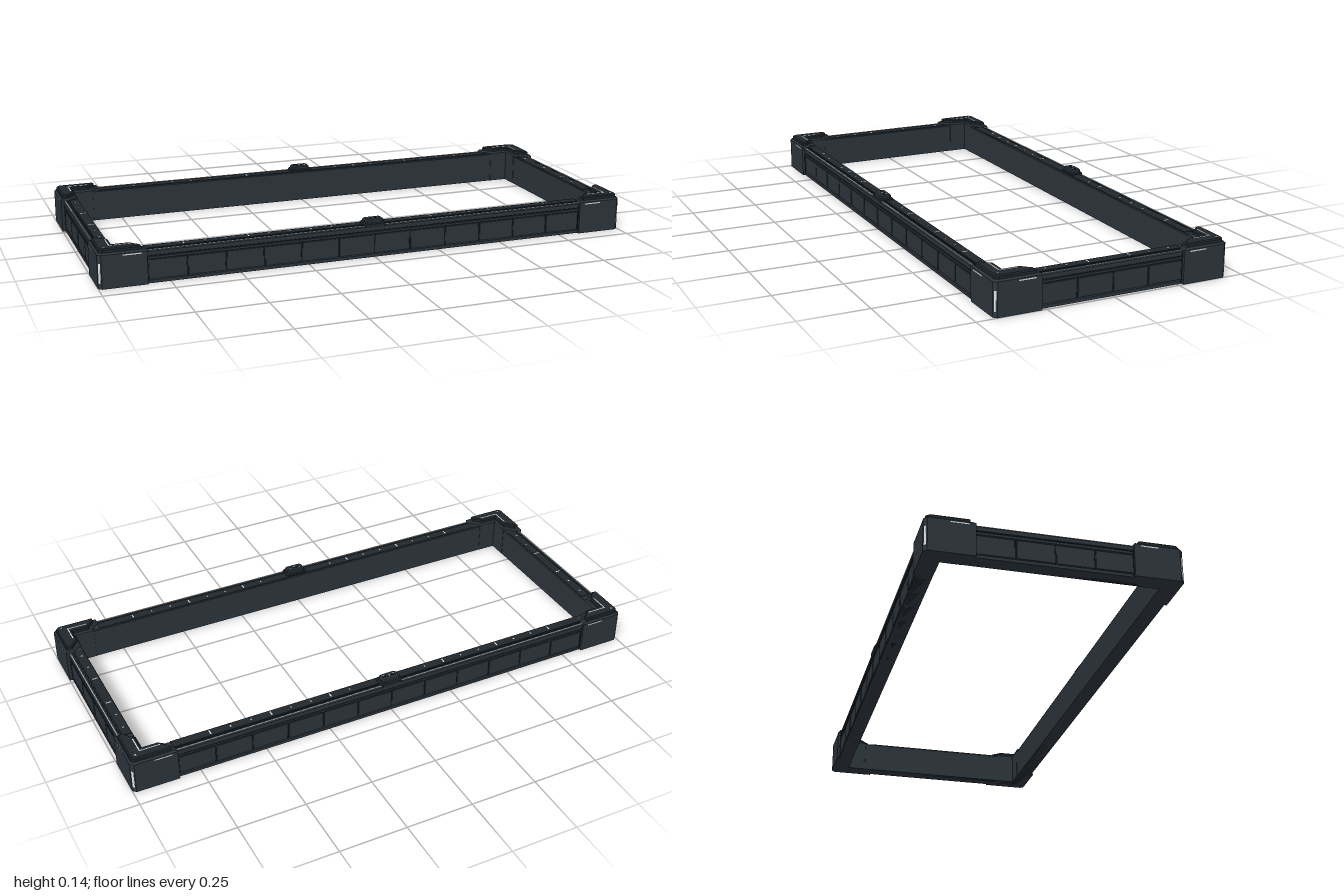
import * as THREE from 'three';

const material = (name, color) => {
  const m = new THREE.MeshStandardMaterial({ color });
  m.name = name;
  return m;
};

export function createModel() {
  const root = new THREE.Group();
  root.name = 'rectangularFrame';
  const body = material('slate', 0x2c343b);
  const trim = material('darkSlate', 0x20272b);
  const dark = material('nearBlack', 0x14181b);
  const light = material('paleLight', 0xe6eef2);

  function add(parent, name, geometry, mat) {
    const m = new THREE.Mesh(geometry, mat);
    m.name = name;
    parent.add(m);
    return m;
  }
  function box(parent, name, mat, size, pos) {
    const m = add(parent, name, new THREE.BoxGeometry(...size), mat);
    m.position.set(...pos);
    return m;
  }
  // Extrude an outline given as [x, z] straight up between two heights
  function slab(parent, name, mat, points, y0, y1, bevel) {
    const shape = new THREE.Shape(points.map(([x, z]) => new THREE.Vector2(x, -z)));
    const g = new THREE.ExtrudeGeometry(shape, {
      depth: y1 - y0 - bevel, bevelEnabled: bevel > 0, bevelSize: bevel,
      bevelThickness: bevel, bevelOffset: -bevel, bevelSegments: 1,
    });
    g.rotateX(-Math.PI / 2);
    // Only the top edge is chamfered, the bottom stays flat
    const p = g.attributes.position;
    for (let i = 0; i < p.count; i++) p.setY(i, Math.max(p.getY(i), 0) + y0);
    g.computeVertexNormals();
    return add(parent, name, g, mat);
  }

  // Rail section as [outward distance, height]
  const section = [
    [0, 0], [0.056, 0], [0.056, 0.011], [0.052, 0.014], [0.052, 0.084], [0.056, 0.087],
    [0.056, 0.094], [0.052, 0.097], [0.057, 0.1], [0.057, 0.114], [0.054, 0.118], [0.003, 0.118], [0, 0.115],
  ].map(([d, y]) => new THREE.Vector2(d, y));

  function rail(name, half, end, inner, angle, step, panelCount, ticks, bigRest) {
    const turn = new THREE.Group();
    turn.name = name;
    turn.rotation.y = angle;
    root.add(turn);
    const g = new THREE.Group();
    g.name = name + 'Parts';
    g.position.z = inner;
    turn.add(g);

    const geo = new THREE.ExtrudeGeometry(new THREE.Shape(section), { depth: 2 * half, bevelEnabled: false });
    geo.translate(0, 0, -half);
    geo.rotateY(-Math.PI / 2);
    add(g, 'railBody', geo, body);

    // Top cover, dark groove and thin light line
    box(g, 'topCover', trim, [2 * end, 0.003, 0.034], [0, 0.119, 0.02]);
    box(g, 'topGroove', dark, [2 * end, 0.002, 0.005], [0, 0.1185, 0.042]);
    box(g, 'lightLine', light, [2 * end, 0.002, 0.003], [0, 0.1185, 0.0525]);
    box(g, 'ledgeShadow', dark, [2 * end, 0.004, 0.002], [0, 0.0965, 0.053]);

    // Outer panels with dark seams
    const first = -step * panelCount / 2;
    for (let i = 0; i < panelCount; i++) {
      const x = first + step * (i + 0.5);
      box(g, 'sidePanel', body, [step - 0.007, 0.066, 0.004], [x, 0.049, i % 2 ? 0.0535 : 0.0525]);
      if (i) box(g, 'panelSeam', dark, [0.005, 0.07, 0.002], [x - step / 2, 0.049, 0.052]);
    }

    // Light marks along the top
    for (const s of [-1, 1]) {
      for (let n = ticks[0]; n <= ticks[1]; n++) {
        const big = n % 3 === bigRest;
        box(g, 'topMark', light, [0.005, 0.002, big ? 0.02 : 0.007], [s * n * 0.0772, 0.1205, 0.02]);
      }
    }
    return g;
  }

  function clip(g) {
    // Raised block at the middle of the long rails
    const plan = (w, a, b, c) => [[-w, a + c], [-w + c, a], [w - c, a], [w, a + c],
      [w, b - c], [w - c, b], [-w + c, b], [-w, b - c]];
    slab(g, 'clipBase', trim, plan(0.044, 0.006, 0.058, 0.008), 0.112, 0.128, 0.004);
    slab(g, 'clipTop', body, plan(0.036, 0.012, 0.052, 0.008), 0.127, 0.14, 0.004);
    box(g, 'clipGroove', dark, [0.05, 0.001, 0.012], [0, 0.1402, 0.032]);
    for (const x of [-0.02, 0, 0.02]) {
      box(g, 'clipLight', light, [0.005, 0.001, 0.005], [x, 0.141, x ? 0.026 : 0.034]);
    }
  }

  clip(rail('frontRail', 0.935, 0.835, 0.372, 0, 0.138, 12, [2, 9], 0));
  clip(rail('backRail', 0.935, 0.835, 0.372, Math.PI, 0.138, 12, [2, 9], 0));
  rail('leftRail', 0.373, 0.272, 0.933, Math.PI / 2, 0.1335, 4, [1, 3], 1);
  rail('rightRail', 0.373, 0.272, 0.933, -Math.PI / 2, 0.1335, 4, [1, 3], 1);

  // L-shaped corner blocks with raised caps
  for (const sx of [-1, 1]) for (const sz of [-1, 1]) {
    const g = new THREE.Group();
    g.name = (sz > 0 ? 'front' : 'back') + (sx > 0 ? 'Left' : 'Right') + 'Corner';
    root.add(g);
    // Outline pulled in by i, with arm ends shortened by e
    const outline = (i, e, c) => [
      [0.932 + i, 0.371 + i], [0.86 + e, 0.371 + i], [0.848 + e, 0.395], [0.83 + e, 0.412],
      [0.83 + e, 0.437 - i], [1 - i - c, 0.437 - i], [1 - i, 0.437 - i - c],
      [1 - i, 0.266 + e], [0.972, 0.266 + e], [0.955, 0.285 + e], [0.932 + i, 0.3 + e],
    ].map(([x, z]) => [sx * x, sz * z]);
    slab(g, 'cornerBlock', body, outline(0, 0, 0.012), 0, 0.126, 0.006);
    slab(g, 'cornerCap', trim, outline(0.008, 0.018, 0.012), 0.125, 0.139, 0.004);

    const put = (name, mat, size, x, y, z) => box(g, name, mat, size, [sx * x, y, sz * z]);
    // Light marks on the cap
    put('capMarkLong', light, [0.075, 0.002, 0.004], 0.916, 0.139, 0.397);
    put('capMarkShort', light, [0.004, 0.002, 0.068], 0.952, 0.139, 0.363);
    put('capDot', light, [0.006, 0.002, 0.006], 0.972, 0.139, 0.412);
    // Light slots on the outer faces
    put('frontSlot', light, [0.065, 0.004, 0.002], 0.882, 0.114, 0.437);
    put('sideSlot', light, [0.002, 0.004, 0.062], 1, 0.114, 0.32);
    // Upright light on the chamfered edge
    const bar = put('edgeLight', light, [0.008, 0.07, 0.002], 0.994, 0.055, 0.431);
    bar.rotation.y = sx * sz * Math.PI / 4;
    // Dark seams beside the rails
    put('frontSeam', dark, [0.004, 0.11, 0.004], 0.829, 0.057, 0.427);
    put('sideSeam', dark, [0.004, 0.11, 0.004], 0.988, 0.057, 0.265);
  }

  // Dark underside plates
  for (const s of [-1, 1]) {
    box(root, 'longUnderside', dark, [1.97, 0.002, 0.054], [0, 0.001, s * 0.4]);
    box(root, 'shortUnderside', dark, [0.053, 0.002, 0.74], [s * 0.96, 0.001, 0]);
  }
  return root;
}
